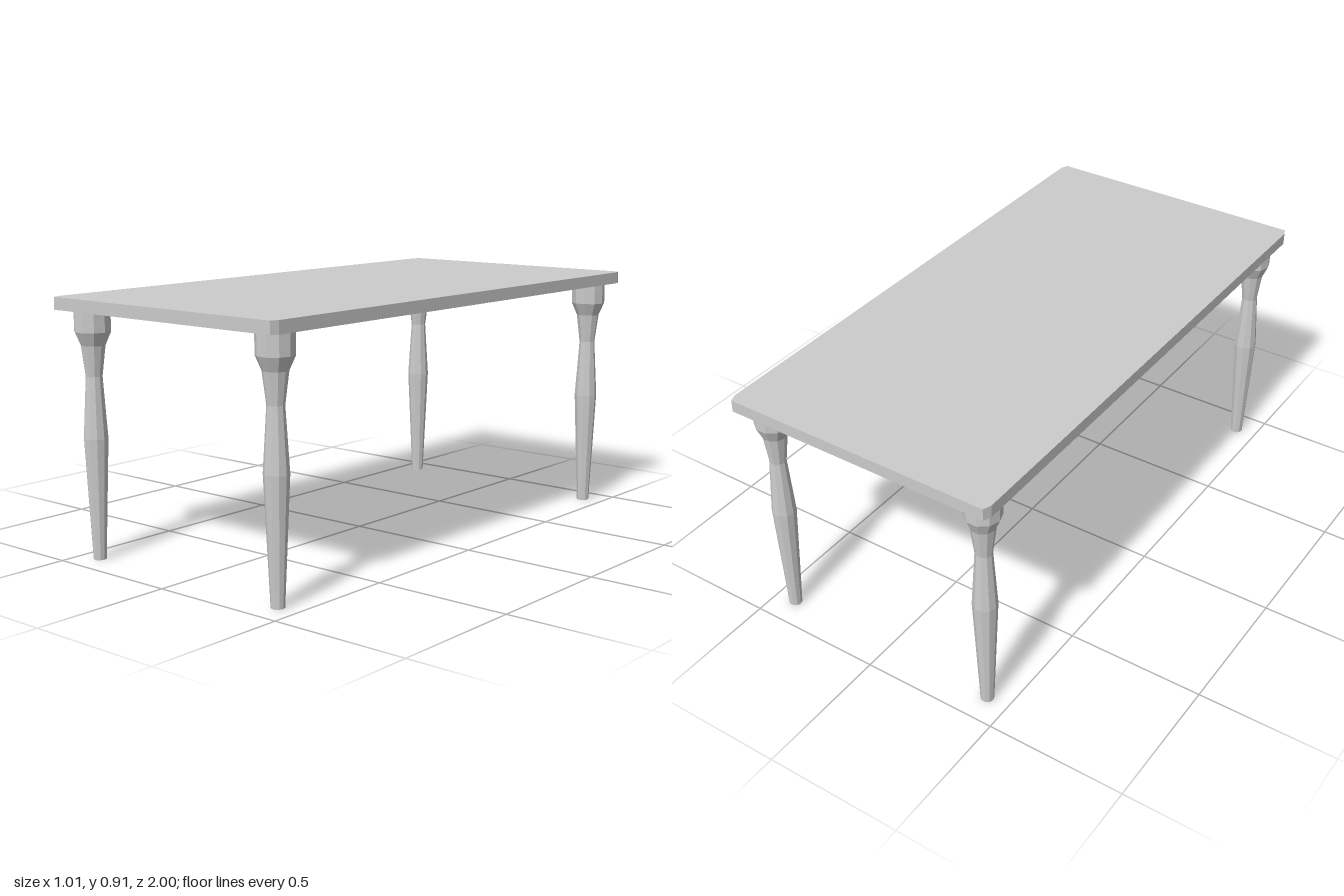
import * as THREE from 'three';

const material = new THREE.MeshStandardMaterial({ color: 0xcccccc, flatShading: true });

// Slab with small clipped corners, extruded upwards
function createTop(bottom, thickness) {
  const x = 0.503, z = 1, cutX = 0.011, cutZ = 0.028;
  const shape = new THREE.Shape([
    [x, z - cutZ], [x - cutX, z], [cutX - x, z], [-x, z - cutZ],
    [-x, cutZ - z], [cutX - x, -z], [x - cutX, -z], [x, cutZ - z],
  ].map(([px, pz]) => new THREE.Vector2(px, pz)));
  const geometry = new THREE.ExtrudeGeometry(shape, { depth: thickness, bevelEnabled: false });
  geometry.rotateX(-Math.PI / 2);
  const top = new THREE.Mesh(geometry, material);
  top.name = 'tableTop';
  top.position.y = bottom;
  return top;
}

// Turned ten-sided leg: [radius, height] from foot to top, closed at both ends
const legProfile = [
  [0, 0], [0.023, 0], [0.0425, 0.427], [0.029, 0.64],
  [0.0425, 0.746], [0.063, 0.793], [0.063, 0.869], [0, 0.869],
].map(([r, y]) => new THREE.Vector2(r, y));

export function createModel() {
  const table = new THREE.Group();
  table.name = 'table';
  table.add(createTop(0.869, 0.043));

  const legGeometry = new THREE.LatheGeometry(legProfile, 10, Math.PI / 2);
  for (const sx of [-1, 1]) {
    for (const sz of [-1, 1]) {
      const leg = new THREE.Mesh(legGeometry, material);
      leg.name = (sz > 0 ? 'front' : 'back') + (sx > 0 ? 'Left' : 'Right') + 'Leg';
      leg.position.set(sx * 0.419, 0, sz * 0.9);
      leg.scale.x = sx; // mirrored pairs
      table.add(leg);
    }
  }
  return table;
}
